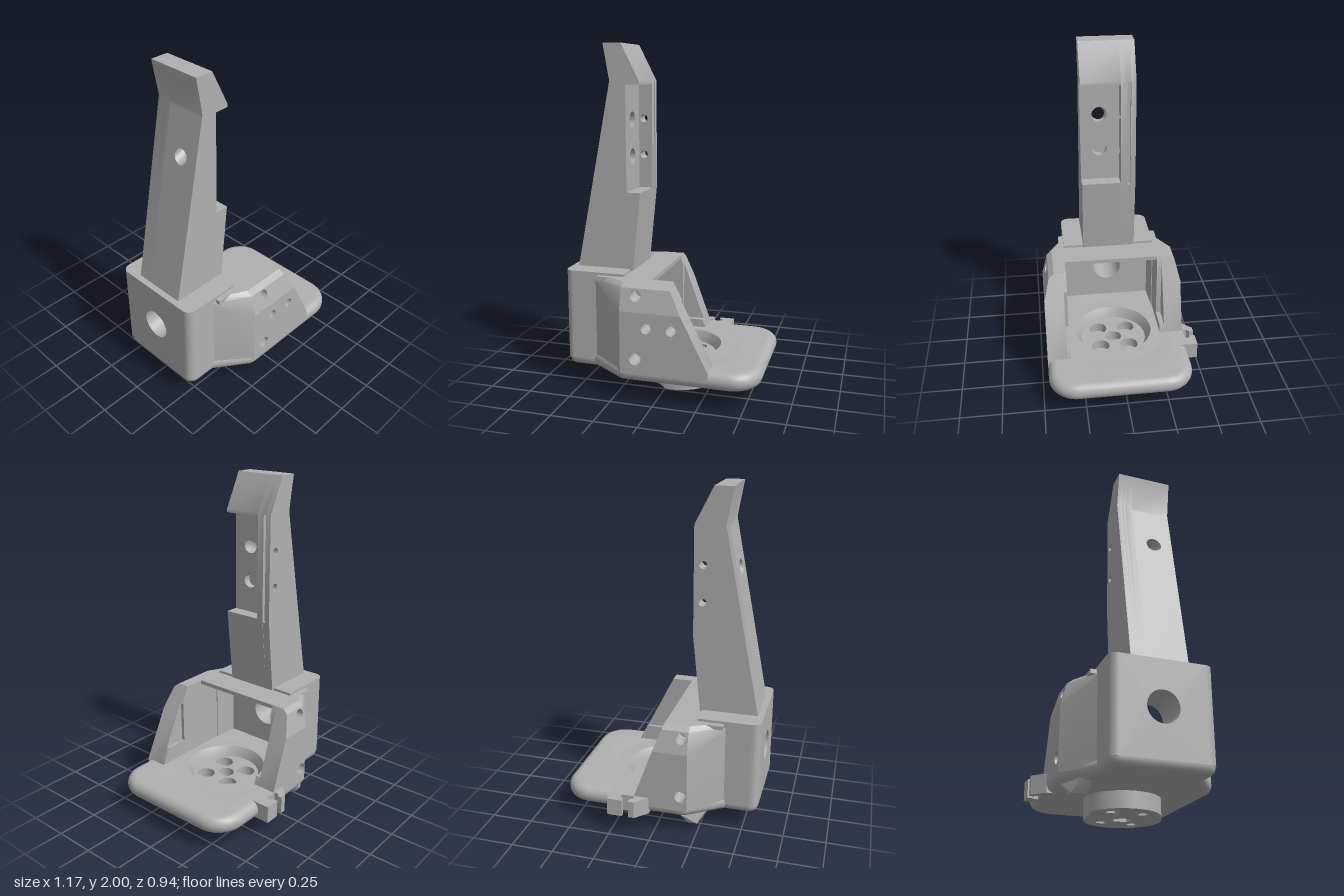
import * as THREE from 'three';
import { toCreasedNormals } from 'three/addons/utils/BufferGeometryUtils.js';
import { ConvexGeometry } from 'three/addons/geometries/ConvexGeometry.js';

const V = (x, y, z) => new THREE.Vector3(x, y, z);
const lerp = (a, b, t) => a + (b - a) * t;

export function createModel() {
  const root = new THREE.Group();
  const grey = new THREE.MeshStandardMaterial({ color: 0xb0b0b0 });
  grey.name = 'grey plastic';

  const add = (name, geo) => {
    const mesh = new THREE.Mesh(toCreasedNormals(geo, 0.5), grey);
    mesh.name = name;
    root.add(mesh);
    return mesh;
  };
  const box = (name, x0, x1, y0, y1, z0, z1) =>
    add(name, new THREE.BoxGeometry(x1 - x0, y1 - y0, z1 - z0)
      .translate((x0 + x1) / 2, (y0 + y1) / 2, (z0 + z1) / 2));
  const circle = (x, y, r) => new THREE.Path().absarc(x, y, r, 0, Math.PI * 2, true);
  const poly = (pts, holes = []) => {
    const s = new THREE.Shape(pts.map(p => new THREE.Vector2(...p)));
    s.holes.push(...holes);
    return s;
  };
  const extrude = (shape, depth) =>
    new THREE.ExtrudeGeometry(shape, { depth, bevelEnabled: false, curveSegments: 16 });
  // Extrusions along z, along y (shape drawn as x, -z) and along x (shape drawn as -z, y)
  const alongZ = (shape, z0, z1) => extrude(shape, z1 - z0).translate(0, 0, z0);
  const alongY = (shape, y0, y1) => extrude(shape, y1 - y0).rotateX(-Math.PI / 2).translate(0, y0, 0);
  const alongX = (shape, x0, x1) => extrude(shape, x1 - x0).rotateY(Math.PI / 2).translate(x0, 0, 0);
  // Move every vertex by a rule, then refresh normals
  const warp = (geo, rule) => {
    const p = geo.attributes.position, v = V(0, 0, 0);
    for (let i = 0; i < p.count; i++) {
      v.fromBufferAttribute(p, i);
      rule(v);
      p.setXYZ(i, v.x, v.y, v.z);
    }
    geo.computeVertexNormals();
    return geo;
  };

  // Base plate with a fully rounded edge
  const plate = new THREE.Shape();
  const H = Math.PI / 2;
  plate.moveTo(-0.41, -0.32);
  plate.lineTo(-0.22, -0.455);
  plate.quadraticCurveTo(-0.2, -0.465, -0.17, -0.465);
  plate.absarc(0.415, -0.295, 0.17, -H, 0, false);
  plate.absarc(0.415, 0.23, 0.17, 0, H, false);
  plate.lineTo(-0.15, 0.4);
  plate.quadraticCurveTo(-0.18, 0.4, -0.2, 0.39);
  plate.lineTo(-0.4, 0.255);
  plate.absarc(-0.53, 0.195, 0.06, H, 2 * H, false);
  plate.absarc(-0.53, -0.26, 0.06, 2 * H, 3 * H, false);
  plate.holes.push(circle(0.045, -0.035, 0.28));
  add('basePlate', new THREE.ExtrudeGeometry(plate, {
    depth: 0.005, bevelThickness: 0.05, bevelSize: 0.05, bevelOffset: -0.05,
    bevelSegments: 6, curveSegments: 12,
  }).rotateX(-H).translate(0, 0.165, 0));

  // Conical seat around the hub
  const seat = [[0.2, 0.115], [0.335, 0.115], [0.335, 0.22], [0.24, 0.22], [0.205, 0.16], [0.2, 0.115]];
  add('hubSeat', new THREE.LatheGeometry(seat.map(p => new THREE.Vector2(...p)), 64)
    .translate(0.045, 0, 0.035));

  // Hub with teardrop screw holes, wider at the top
  const teardrop = (x, y, r) => {
    const p = new THREE.Path();
    p.moveTo(x + r * Math.SQRT2, y);
    p.absarc(x, y, r, Math.PI / 4, Math.PI * 7 / 4, false);
    p.closePath();
    return p;
  };
  const hubShape = r => {
    const s = new THREE.Shape().absarc(0.045, -0.035, 0.215, 0, Math.PI * 2, false);
    s.holes.push(teardrop(0.045, -0.035, 0.05));
    for (const i of [-1, 1]) for (const j of [-1, 1])
      s.holes.push(teardrop(0.045 + i * 0.09, -0.035 + j * 0.09, r));
    return s;
  };
  add('hubLower', warp(alongY(hubShape(0.03), 0, 0.1), v => {
    if (v.y < 0.01 && v.x < -0.02) v.y = 0.02;
  }));
  add('hubUpper', alongY(hubShape(0.055), 0.1, 0.16));

  // Lump beneath the plate
  add('underLump', new ConvexGeometry([
    V(-0.25, 0.055, -0.25), V(-0.19, 0.055, -0.25), V(-0.25, 0.055, -0.34), V(-0.19, 0.055, -0.34),
    V(-0.31, 0.125, -0.25), V(-0.15, 0.125, -0.25), V(-0.29, 0.125, -0.31), V(-0.15, 0.125, -0.375),
  ]));

  // Slotted cable clip on the rear edge
  add('cableClip', alongY(poly([
    [0.265, 0.35], [0.265, 0.47], [0.175, 0.47], [0.175, 0.445], [0.195, 0.43], [0.195, 0.405],
    [0.115, 0.405], [0.115, 0.43], [0.135, 0.445], [0.135, 0.47], [0.1, 0.47], [0.03, 0.4], [0.03, 0.35],
  ]), 0.115, 0.22));

  // Raked side walls: notched inner layer, drilled outer layer, chamfered top, tapered rear
  const sideWall = (name, { inner, step, outer, footX, topX, notch, lowHoles, highHoles }) => {
    const s = Math.sign(outer);
    const rake = y => lerp(footX, topX, Math.max(0, (y - 0.22) / 0.465));
    const outAt = y => outer - s * (y <= 0.53 ? 0 : y <= 0.66 ? (y - 0.53) * 0.25 : 0.0325 + (y - 0.66) * 1.3);
    const slab = (shape, a, b) => alongZ(shape, Math.min(a, b), Math.max(a, b));
    const band = (y0, y1) => [[-0.2, y0], [rake(y0), y0], ...(y0 < 0.22 ? [[rake(0.22), 0.22]] : []),
      [rake(y1), y1], [-0.2, y1]];
    const [nx, n0, n1] = notch;
    add(name + 'Lining', slab(poly([[-0.2, 0.165], [footX, 0.165], [footX, 0.22], [rake(n0), n0],
      [nx, n0], [nx, n1], [rake(n1), n1], [topX, 0.685], [-0.2, 0.685]]), inner, step));
    const drill = list => list.map(h => circle(...h));
    add(name + 'Lower', slab(poly(band(0.165, 0.53), drill(lowHoles)), step, outer));
    add(name + 'Upper', warp(slab(poly(band(0.53, 0.66), drill(highHoles)), step, outer), v => {
      if (Math.abs(v.z - outer) < 0.001) v.z = outAt(v.y);
    }));
    const cap = [], rear = [];
    for (const y of [0.66, 0.675, 0.685])
      for (const x of [-0.2, rake(y)]) cap.push(V(x, y, step), V(x, y, outAt(y)));
    for (const y of [0.165, 0.53, 0.66, 0.685]) {
      const back = y > 0.67 ? -0.37 : -0.41;
      rear.push(V(back, y, inner - s * 0.015), V(-0.2, y, inner - s * 0.005), V(-0.2, y, outAt(y)));
    }
    add(name + 'Cap', new ConvexGeometry(cap));
    add(name + 'Rear', new ConvexGeometry(rear));
  };
  sideWall('leftFrontWall', {
    inner: 0.325, step: 0.345, outer: 0.465, footX: 0.31, topX: 0.075, notch: [0.12, 0.32, 0.58],
    lowHoles: [[0.1, 0.44, 0.03], [-0.045, 0.44, 0.03], [-0.11, 0.255, 0.035]],
    highHoles: [[-0.11, 0.62, 0.033]],
  });
  sideWall('rearSideWall', {
    inner: -0.255, step: -0.285, outer: -0.4, footX: 0.12, topX: -0.05, notch: [-0.03, 0.27, 0.62],
    lowHoles: [[-0.16, 0.255, 0.035]], highHoles: [[-0.16, 0.62, 0.033]],
  });

  // Rear block with a round bore and rounded vertical corners
  add('blockCore', alongX(poly([[-0.27, 0.165], [0.205, 0.165], [0.205, 0.7], [-0.27, 0.7]],
    [circle(-0.03, 0.44, 0.09)]), -0.59, -0.36));
  for (const [z, z0, z1] of [[0.27, 0.27, 0.32], [-0.205, -0.255, -0.205]]) {
    add('blockCorner', new THREE.CylinderGeometry(0.05, 0.05, 0.535, 32).translate(-0.54, 0.4325, z));
    box('blockSide', -0.54, -0.36, 0.165, 0.7, z0, z1);
  }
  box('blockTop', -0.36, -0.225, 0.66, 0.7, -0.255, 0.32);
  box('bridge', -0.38, -0.05, 0.66, 0.685, -0.29, 0.35);

  // Leaning column, built in layers so that the pocket, slit and holes are real
  const backX = y => lerp(-0.555, -0.34, (y - 0.69) / 1.1);
  const frontLow = [[backX(0.69), 0.69], [-0.21, 0.69], [-0.163, 1.155]];
  const top = [[-0.163, 1.79], [-0.27, 2], [-0.377, 2], [-0.34, 1.79]];
  const pins = () => [circle(-0.215, 1.57, 0.023), circle(-0.215, 1.355, 0.023)];
  const slit = [[-0.167, 1.14], [-0.185, 1.14], [-0.185, 1.785], [-0.163, 1.785]];
  const full = [...frontLow, ...top];
  add('columnSide', alongZ(poly(full, pins()), -0.13, -0.1));
  add('columnSlit', alongZ(poly([...frontLow.slice(0, 2), ...slit, ...top], pins()), -0.1, -0.08));
  add('columnWeb', alongZ(poly(full, pins()), -0.08, -0.04));
  add('columnLower', alongZ(poly([...frontLow, [backX(1.155), 1.155]]), -0.04, 0.195));
  add('columnHead', alongZ(poly([[backX(1.77), 1.77], [-0.163, 1.77], ...top]), -0.04, 0.195));

  // Pocket floor: upper bore slopes down through the back, lower bore is blind
  const floor = holes => poly([[-0.195, 1.155], [0.04, 1.155], [0.04, 1.77], [-0.195, 1.77]], holes);
  const upperBore = () => circle(-0.08, 1.57, 0.045);
  add('pocketFloor', alongX(floor([upperBore(), circle(-0.08, 1.355, 0.045)]), -0.29, -0.245));
  add('pocketBack', warp(alongX(floor([upperBore()]), -0.4, -0.29), v => {
    if (v.x > -0.3) return;
    if (Math.hypot(v.z - 0.08, v.y - 1.57) < 0.06) v.y -= 0.045;
    v.x = backX(v.y);
  }));

  return root;
}
